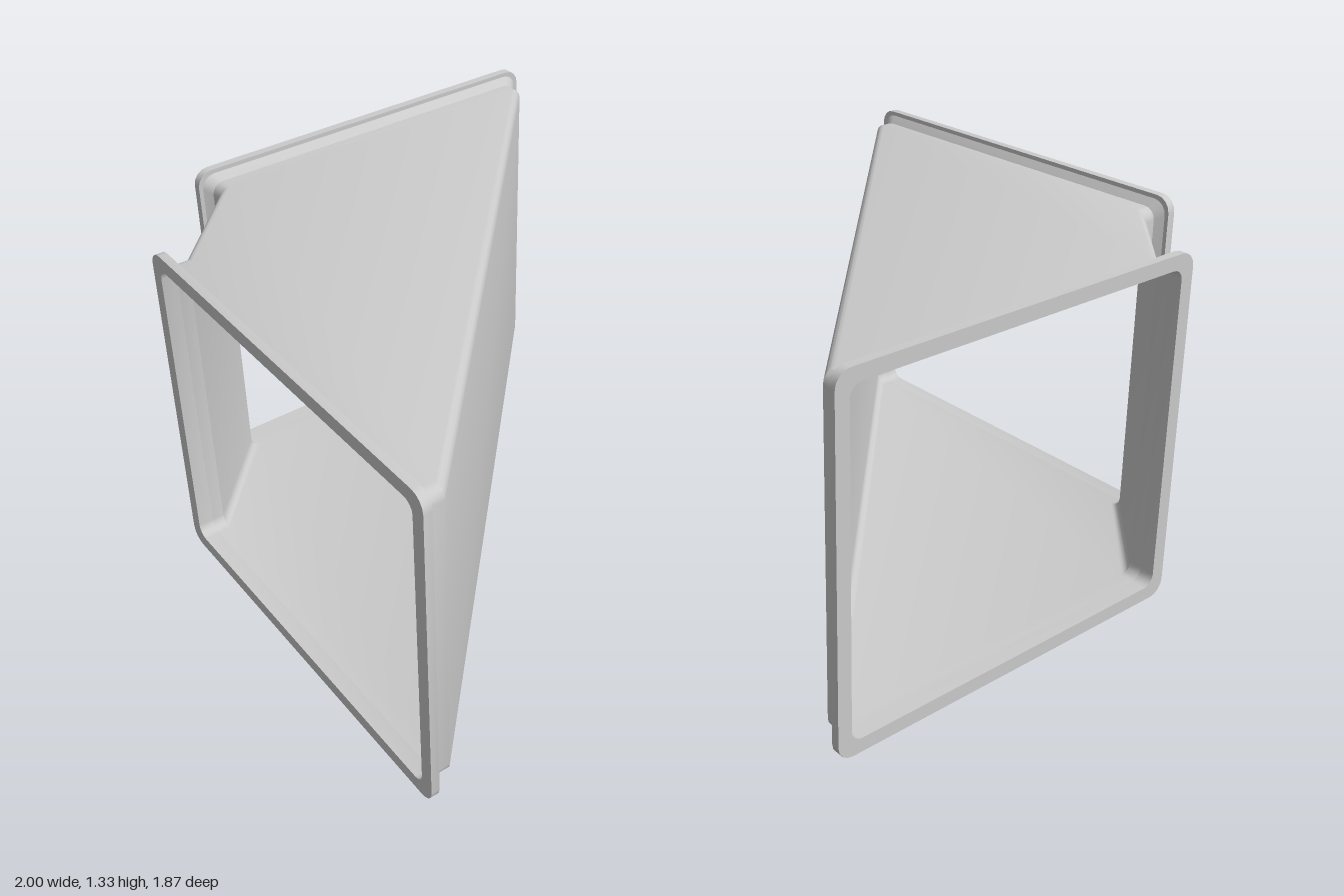
import * as THREE from 'three';
import { toCreasedNormals } from 'three/addons/utils/BufferGeometryUtils.js';

const WALL = 0.01, Y0 = 0.043, Y1 = 1.287, ARC = 4;

// The two open ends: width range along the mouth, and a map from (u, depth) to plan x, z
const sideEnd = { width: 1.413, at: (u, d) => [-1 + d, -0.895 + u] };
const frontEnd = { width: 1.519, at: (u, d) => [0.957 - u, 0.936 - d] };

// Rounded-rectangle ring at a depth behind a mouth, grown outward by g
function ring(end, depth, g) {
  const r = 0.045 + 0.3 * g;
  const u0 = -g + r, u1 = end.width + g - r, v0 = Y0 - g + r, v1 = Y1 + g - r;
  const centres = [[u1, v1], [u0, v1], [u0, v0], [u1, v0]];
  const points = [];
  centres.forEach(([cu, cv], k) => {
    for (let i = 0; i <= ARC; i++) {
      const a = (k + i / ARC) * Math.PI / 2;
      const [x, z] = end.at(cu + r * Math.cos(a), depth);
      points.push([x, cv + r * Math.sin(a), z]);
    }
  });
  return points;
}

// Skin strips of rings, each strip a list of [end, depth, growth]
function skin(name, strips) {
  const pos = [];
  for (const strip of strips) {
    const rings = strip.map((s) => ring(...s));
    for (let i = 0; i < rings.length - 1; i++) {
      const A = rings[i], B = rings[i + 1];
      for (let j = 0; j < A.length; j++) {
        const k = (j + 1) % A.length;
        pos.push(...A[j], ...B[j], ...B[k], ...A[j], ...B[k], ...A[k]);
      }
    }
  }
  const geo = new THREE.BufferGeometry();
  geo.setAttribute('position', new THREE.Float32BufferAttribute(pos, 3));
  const mesh = new THREE.Mesh(
    toCreasedNormals(geo, Math.PI / 6),
    new THREE.MeshStandardMaterial({ color: 0xcccccc, side: THREE.DoubleSide })
  );
  mesh.name = name;
  return mesh;
}

export function createModel() {
  const group = new THREE.Group();
  group.name = 'ductElbow';

  // Thin-walled mitred duct: outer skin one way, inner skin back
  const path = [[sideEnd, 0.058], [sideEnd, 0.108], [frontEnd, 0.105], [frontEnd, 0.058]];
  group.add(skin('ductBody', [
    path.map(([e, d]) => [e, d, 0]),
    path.map(([e, d]) => [e, d, -WALL]).reverse(),
  ]));

  // Flange section: inner bore, flat face, lip, step and chamfer down to the duct
  const profile = [[0.058, -WALL], [0, -WALL], [0, 0.043], [0.032, 0.043], [0.032, 0.027], [0.058, 0]];
  const flange = (end) => profile.map(([d, g]) => [end, d, g]);
  group.add(skin('sideFlange', [flange(sideEnd)]));
  group.add(skin('frontFlange', [flange(frontEnd).reverse()]));
  return group;
}
